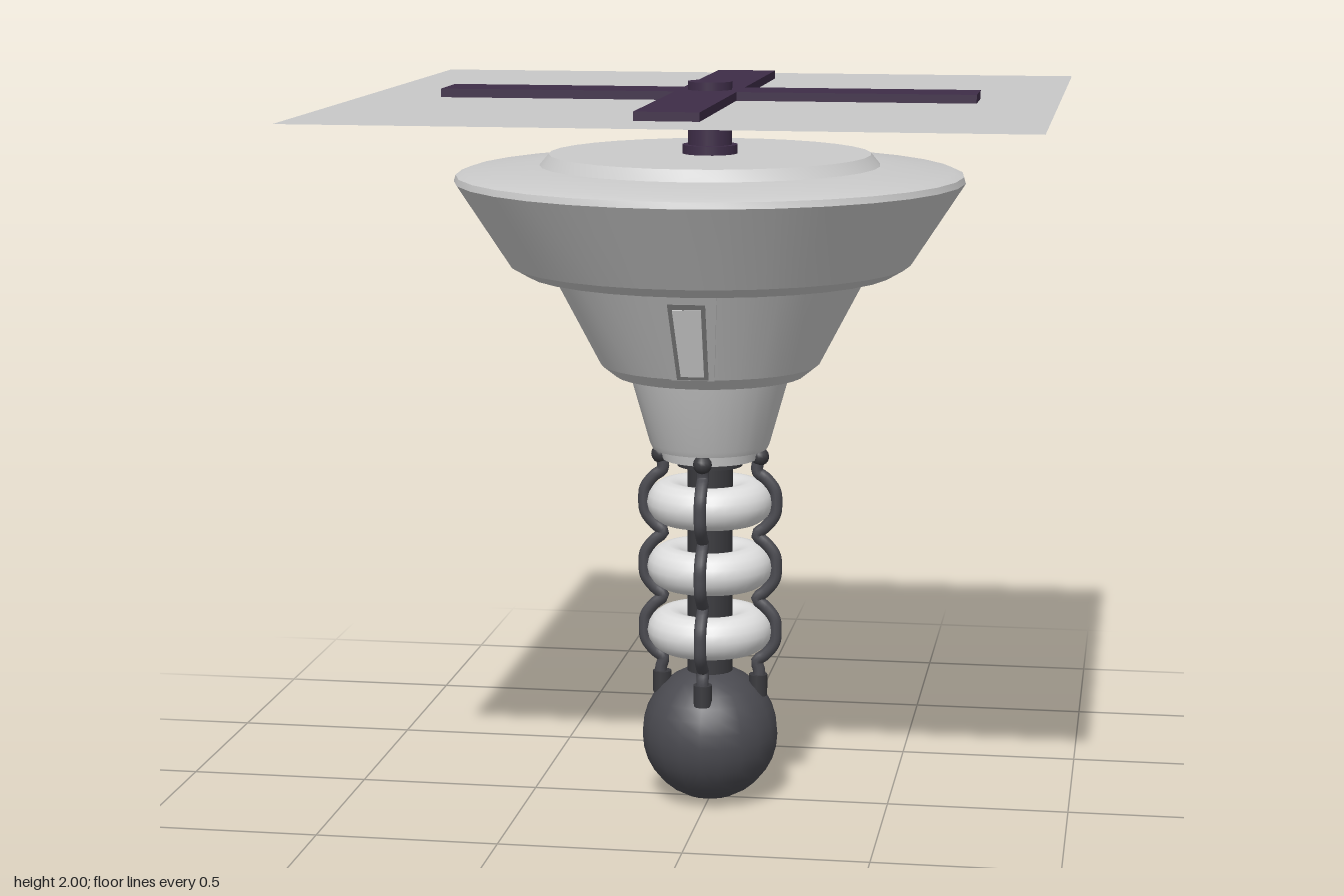
import * as THREE from 'three';
import { toCreasedNormals } from 'three/addons/utils/BufferGeometryUtils.js';

const mat = (name, color, side = THREE.FrontSide) => {
  const m = new THREE.MeshStandardMaterial({ color, side });
  m.name = name;
  return m;
};

export function createModel() {
  const group = new THREE.Group();
  const shellGrey = mat('shell grey', 0xcacaca);
  const sheetGrey = mat('sheet grey', 0xc8c8c8, THREE.DoubleSide);
  const ringWhite = mat('ring white', 0xdedede);
  const paneWhite = mat('pane white', 0xf0f0f0, THREE.DoubleSide);
  const frameGrey = mat('frame grey', 0x858585);
  const darkGrey = mat('dark grey', 0x4a4a50);
  const coreGrey = mat('core grey', 0x3a3a3e);
  const purple = mat('rotor purple', 0x3e2d48);

  const add = (name, geometry, material, x = 0, y = 0, z = 0, parent = group) => {
    const mesh = new THREE.Mesh(geometry, material);
    mesh.name = name;
    mesh.position.set(x, y, z);
    parent.add(mesh);
    return mesh;
  };
  const lathe = (pts) => toCreasedNormals(
    new THREE.LatheGeometry(pts.map(([r, y]) => new THREE.Vector2(r, y)), 32), 0.4);

  // Three stacked, tapering shell sections, profiles running bottom to top
  add('neckShell', lathe([[0, 0.97], [0.13, 0.97], [0.135, 1.0], [0.158, 1.0],
    [0.165, 1.015], [0.22, 1.21]]), shellGrey);
  add('middleShell', lathe([[0, 1.205], [0.26, 1.205], [0.30, 1.237], [0.43, 1.486]]), shellGrey);
  add('upperShell', lathe([[0, 1.486], [0.50, 1.486], [0.545, 1.512], [0.69, 1.735],
    [0.685, 1.752], [0.66, 1.762], [0.46, 1.777], [0.435, 1.807], [0, 1.807]]), shellGrey);

  // Window: thin tapered plates leaning along the middle shell
  const lean = Math.atan2(0.13, 0.249);
  const stretch = 1 / Math.cos(lean);
  const windowGroup = new THREE.Group();
  windowGroup.name = 'window';
  windowGroup.position.set(0, 1.237, 0.30);
  windowGroup.rotation.x = lean;
  group.add(windowGroup);
  const plate = (name, bottom, top, wBottom, wTop, depth, z, material) => {
    const a = (bottom - 1.237) * stretch, b = (top - 1.237) * stretch;
    const s = new THREE.Shape([[-wBottom, a], [wBottom, a], [wTop, b], [-wTop, b]]
      .map(([x, y]) => new THREE.Vector2(x, y)));
    add(name, new THREE.ExtrudeGeometry(s, { depth, bevelEnabled: false }),
      material, 0, 0, z, windowGroup);
  };
  plate('windowPanel', 1.237, 1.486, 0.057, 0.082, 0.009, -0.007, shellGrey);
  plate('windowFrame', 1.24, 1.457, 0.042, 0.05, 0.002, 0.002, frameGrey);
  plate('windowPane', 1.25, 1.442, 0.031, 0.038, 0.002, 0.004, paneWhite);

  // Core rod, collar, rings and ball
  add('coreRod', new THREE.CylinderGeometry(0.063, 0.063, 0.7, 24), coreGrey, 0, 0.65);
  add('coreCollar', new THREE.CylinderGeometry(0.09, 0.09, 0.03, 24), coreGrey, 0, 0.965);
  const ringHeights = [0.485, 0.666, 0.848];
  const ringGeo = new THREE.TorusGeometry(0.115, 0.059, 16, 32).rotateX(Math.PI / 2);
  ringHeights.forEach((y) => add('ring', ringGeo, ringWhite, 0, y));
  add('ball', new THREE.SphereGeometry(0.19, 20, 16), darkGrey, 0, 0.19);

  // Four cables that bulge around the rings
  const path = [[0.138, 0.32], [0.138, 0.37]];
  for (const y of ringHeights) {
    path.push([0.132, y - 0.087], [0.155, y - 0.068], [0.18, y - 0.035], [0.184, y],
      [0.18, y + 0.035], [0.155, y + 0.068], [0.132, y + 0.087]);
  }
  path.push([0.138, 0.985]);
  const curve = new THREE.CatmullRomCurve3(path.map(([r, y]) => new THREE.Vector3(r, y, 0)));
  const cableGeo = new THREE.TubeGeometry(curve, 90, 0.017, 10);
  const socketGeo = new THREE.CylinderGeometry(0.026, 0.026, 0.06, 12);
  const knobGeo = new THREE.SphereGeometry(0.026, 12, 8);
  for (let i = 0; i < 4; i++) {
    const cable = new THREE.Group();
    cable.name = 'cableAssembly';
    cable.rotation.y = i * Math.PI / 2;
    group.add(cable);
    add('cable', cableGeo, darkGrey, 0, 0, 0, cable);
    add('cableSocket', socketGeo, coreGrey, 0.135, 0.33, 0, cable);
    add('cableKnob', knobGeo, coreGrey, 0.138, 0.977, 0, cable);
  }

  // Rotor: mast, collar and crossed blades
  add('mastCollar', new THREE.CylinderGeometry(0.075, 0.075, 0.024, 24), purple, 0, 1.819);
  add('mast', new THREE.CylinderGeometry(0.06, 0.06, 0.195, 24), purple, 0, 1.9025);
  add('bladeAcross', new THREE.BoxGeometry(1.44, 0.04, 0.166), purple, 0, 1.958);
  for (const s of [-1, 1]) {
    add('bladeAlong', new THREE.BoxGeometry(0.166, 0.04, 0.637), purple, 0, 1.958, s * 0.4015);
  }

  // Flat square sheet through the rotor
  add('rotorSheet', new THREE.PlaneGeometry(1.87, 1.87).rotateX(-Math.PI / 2), sheetGrey, 0, 1.955);
  return group;
}
